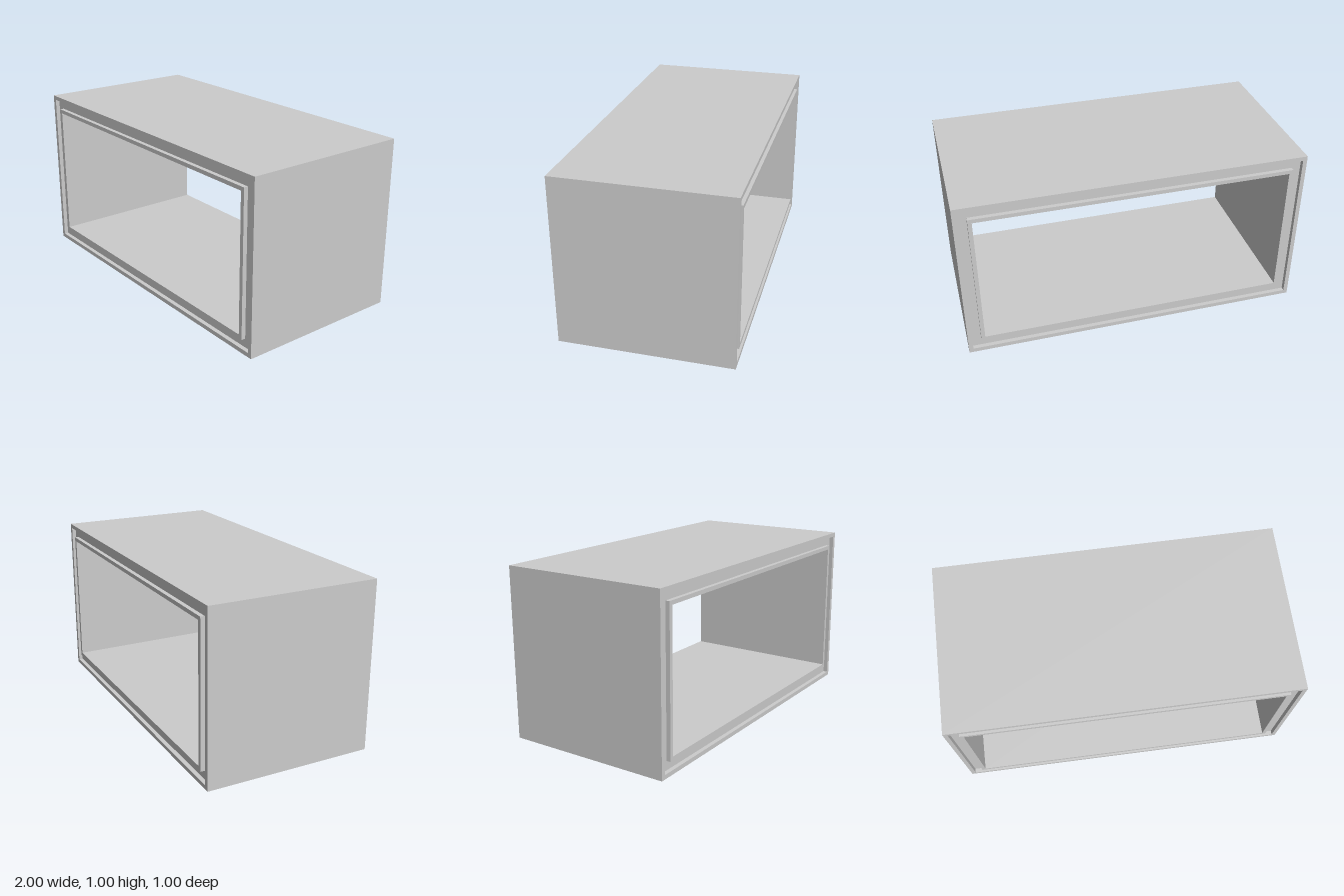
import * as THREE from 'three';

const HALF_W = 1, HEIGHT = 1, HALF_D = 0.5;
const RIM = 0.025, LIP = 0.077, WALL = 0.1; // insets from the outer faces
const GROOVE = 0.025;                       // groove depth

// Wall cross-section as [inset, z]: a groove runs along the front and back edges
const F = HALF_D, G = HALF_D - GROOVE;
const profile = [
  [0, -F], [0, F], [RIM, F], [RIM, G], [LIP, G], [LIP, F],
  [WALL, F], [WALL, -F], [LIP, -F], [LIP, -G], [RIM, -G], [RIM, -F],
];

// Sweep the section around the rectangle with mitred corners
function sweepFrame() {
  const corners = [[1, 0], [1, 1], [-1, 1], [-1, 0]];
  const point = ([sx, top], [inset, z]) =>
    [sx * (HALF_W - inset), top ? HEIGHT - inset : inset, z];
  const positions = [];
  corners.forEach((c, i) => {
    const d = corners[(i + 1) % corners.length];
    profile.forEach((p, k) => {
      const q = profile[(k + 1) % profile.length];
      const [A, B, C, D] = [point(c, p), point(d, p), point(d, q), point(c, q)];
      positions.push(...A, ...B, ...C, ...A, ...C, ...D);
    });
  });
  const geometry = new THREE.BufferGeometry();
  geometry.setAttribute('position', new THREE.Float32BufferAttribute(positions, 3));
  geometry.computeVertexNormals();
  return geometry;
}

export function createModel() {
  const group = new THREE.Group();
  group.name = 'openBoxFrame';
  // Open-ended box with grooved edges
  const frame = new THREE.Mesh(
    sweepFrame(),
    new THREE.MeshStandardMaterial({ color: 0xcccccc, flatShading: true })
  );
  frame.name = 'groovedFrame';
  group.add(frame);
  return group;
}
